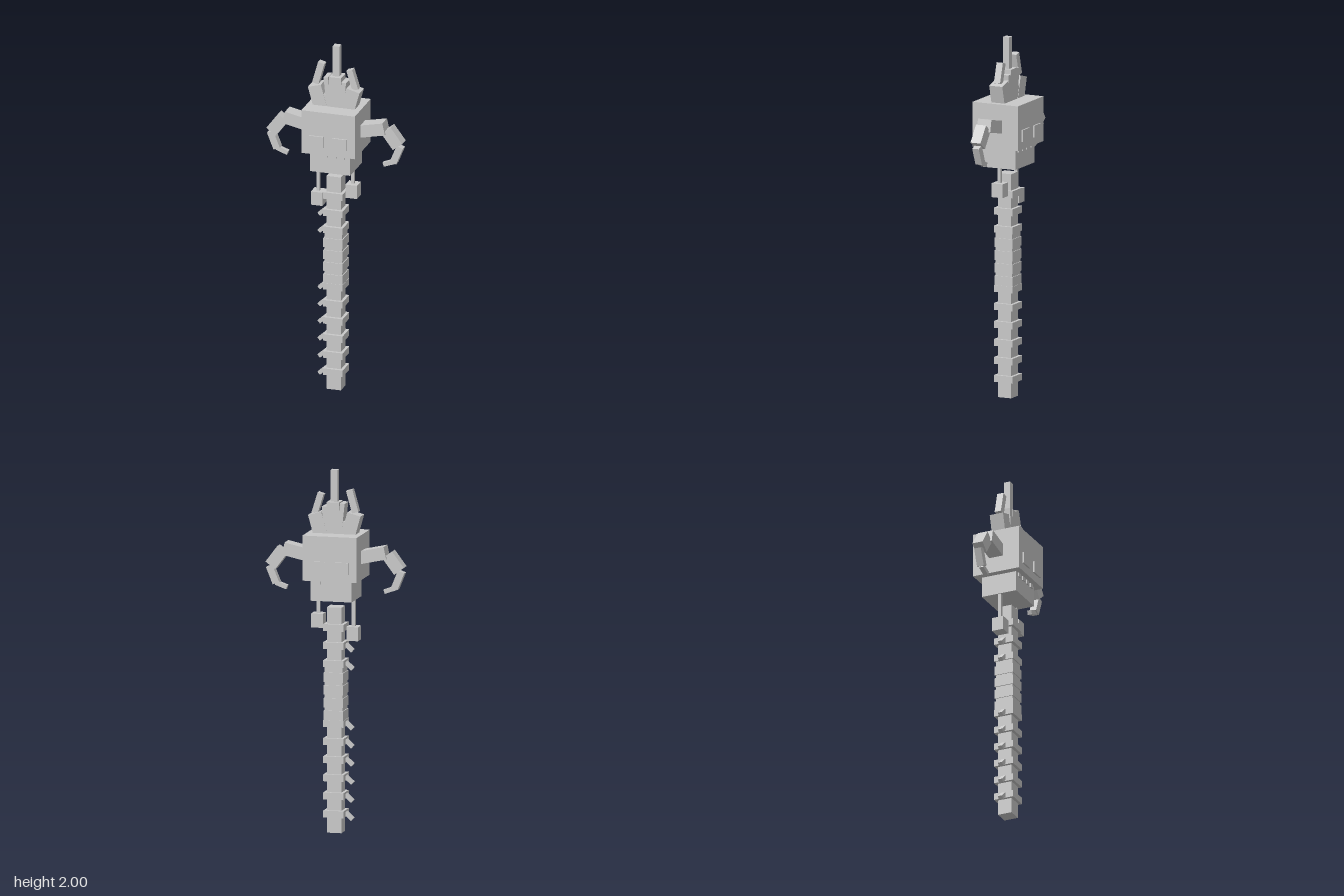
import * as THREE from 'three';

export function createModel() {
  const model = new THREE.Group();
  const stone = new THREE.MeshStandardMaterial({ color: 0xc8c8c8 });
  stone.name = 'light grey';

  const group = (name) => {
    const g = new THREE.Group();
    g.name = name;
    model.add(g);
    return g;
  };

  // Upright box between x and y limits, centred on z
  const box = (parent, name, x0, x1, y0, y1, depth, z = 0) => {
    const mesh = new THREE.Mesh(new THREE.BoxGeometry(x1 - x0, y1 - y0, depth), stone);
    mesh.position.set((x0 + x1) / 2, (y0 + y1) / 2, z);
    mesh.name = name;
    parent.add(mesh);
  };

  // Tilted box running from one point to another in the xy plane
  const bar = (parent, name, xa, ya, xb, yb, width, depth) => {
    const length = Math.hypot(xb - xa, yb - ya);
    const mesh = new THREE.Mesh(new THREE.BoxGeometry(length, width, depth), stone);
    mesh.position.set((xa + xb) / 2, (ya + yb) / 2, 0);
    mesh.rotation.z = Math.atan2(yb - ya, xb - xa);
    mesh.name = name;
    parent.add(mesh);
  };

  // Skull with eyes and teeth on both faces
  const head = group('head');
  box(head, 'skull', -0.153, 0.153, 1.403, 1.652, 0.276);
  box(head, 'jaw', -0.115, 0.115, 1.288, 1.403, 0.206);
  for (const s of [1, -1]) {
    box(head, 'eye', -0.109, -0.027, 1.447, 1.512, 0.009, s * 0.1425);
    box(head, 'eye', 0.024, 0.108, 1.447, 1.512, 0.009, s * 0.1425);
    for (const x of [-0.079, -0.026, 0.022, 0.072]) {
      box(head, 'tooth', x - 0.014, x + 0.014, 1.38, 1.405, 0.02, s * 0.1);
    }
  }

  // Curled horns, four tapering segments each side
  for (const s of [1, -1]) {
    const horn = group(s > 0 ? 'leftHorn' : 'rightHorn');
    bar(horn, 'hornBase', s * 0.13, 1.523, s * 0.286, 1.557, 0.07, 0.082);
    bar(horn, 'hornMiddle', s * 0.296, 1.547, s * 0.362, 1.459, 0.068, 0.061);
    bar(horn, 'hornLower', s * 0.371, 1.454, s * 0.333, 1.36, 0.039, 0.04);
    bar(horn, 'hornTip', s * 0.338, 1.362, s * 0.274, 1.339, 0.024, 0.025);
  }

  // Crown: solid flared base with tilted and upright points
  const crown = group('crown');
  const outline = [[-0.118, 1.64], [0.118, 1.64], [0.132, 1.72], [-0.132, 1.72]];
  const baseShape = new THREE.Shape(outline.map(([x, y]) => new THREE.Vector2(x, y)));
  const baseGeometry = new THREE.ExtrudeGeometry(baseShape, { depth: 0.076, bevelEnabled: false });
  const base = new THREE.Mesh(baseGeometry.translate(0, 0, -0.038), stone);
  base.name = 'crownBase';
  crown.add(base);
  box(crown, 'crownCentre', -0.027, 0.042, 1.64, 1.825, 0.08);
  box(crown, 'crownSpike', -0.013, 0.025, 1.82, 2.0, 0.038);
  bar(crown, 'crownSide', -0.077, 1.64, -0.111, 1.763, 0.077, 0.08);
  bar(crown, 'crownSide', 0.077, 1.64, 0.11, 1.76, 0.077, 0.08);
  bar(crown, 'crownProng', -0.03, 1.67, -0.046, 1.82, 0.026, 0.078);
  bar(crown, 'crownProng', 0.046, 1.67, 0.057, 1.8, 0.026, 0.078);
  bar(crown, 'crownHorn', -0.113, 1.77, -0.079, 1.892, 0.037, 0.038);
  bar(crown, 'crownHorn', 0.116, 1.758, 0.082, 1.868, 0.035, 0.038);

  // Weights hanging from the jaw
  const charms = group('charms');
  for (const [x, top] of [[-0.1, 1.14], [0.098, 1.205]]) {
    box(charms, 'cord', x - 0.009, x + 0.009, top, 1.295, 0.018);
    box(charms, 'weight', x - 0.033, x + 0.033, top - 0.077, top, 0.068);
  }

  // Shaft with ringed vertebrae and slanted barbs
  const staff = group('staff');
  box(staff, 'shaft', -0.041, 0.041, 0, 1.245, 0.08);
  const rings = [1.135, 1.035, 0.935, 0.605, 0.505, 0.405, 0.305, 0.205, 0.105];
  rings.forEach((y, i) => {
    box(staff, 'ring', -0.057, 0.057, y - 0.019, y + 0.019, 0.114);
    if (i > 0) bar(staff, 'barb', -0.055, y + 0.004, -0.095, y - 0.032, 0.022, 0.025);
  });

  // Wrapped grip
  box(staff, 'grip', -0.05, 0.05, 0.62, 0.92, 0.1);
  for (const y of [0.86, 0.79, 0.72, 0.65]) {
    box(staff, 'gripBand', -0.055, 0.055, y - 0.026, y + 0.026, 0.11);
  }

  return model;
}
